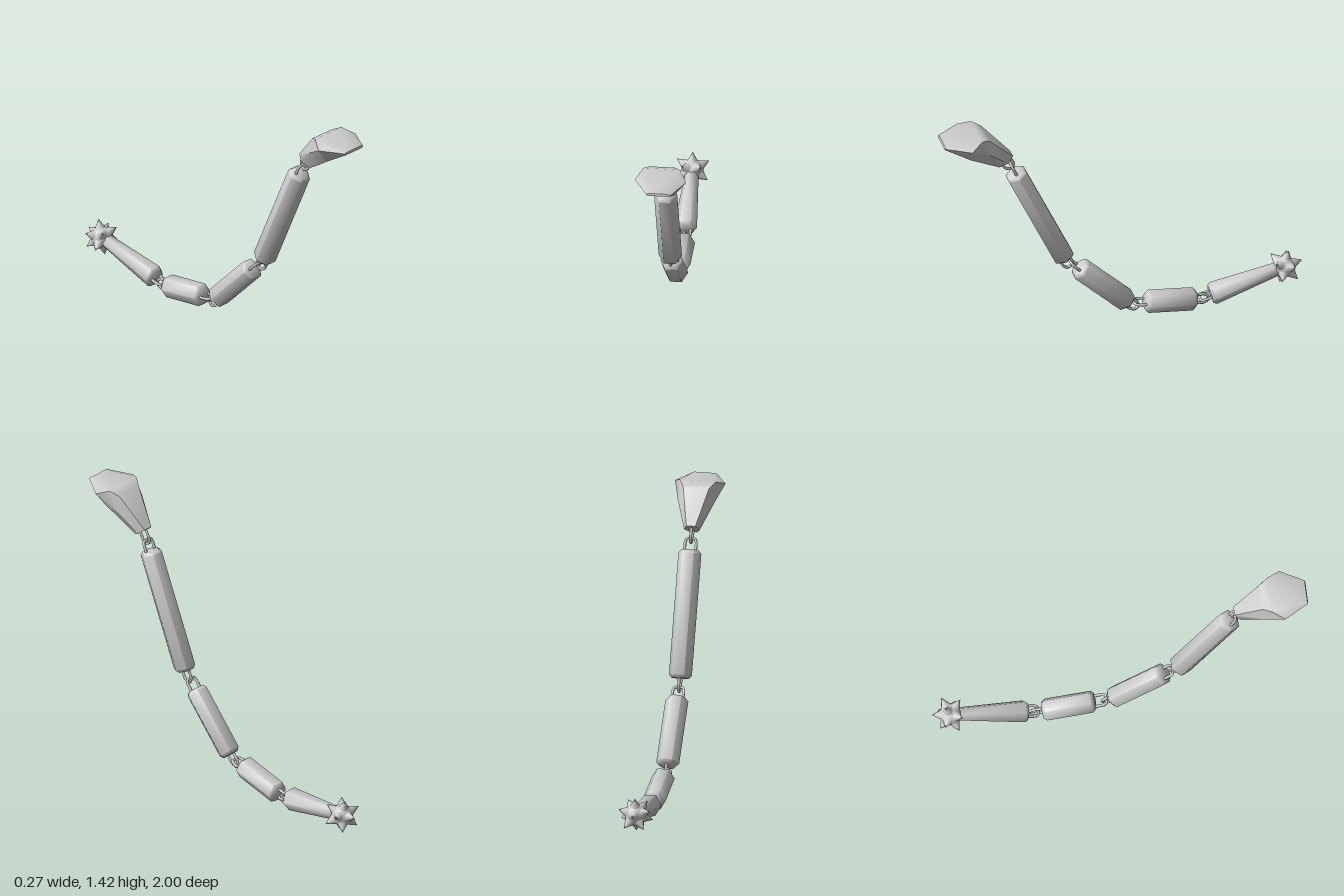
import * as THREE from 'three';
import { toCreasedNormals } from 'three/addons/utils/BufferGeometryUtils.js';

const material = new THREE.MeshStandardMaterial({ color: 0xcccccc });
const R = 0.062; // corner radius of the hexagonal bars

function addMesh(parent, name, geometry) {
  const mesh = new THREE.Mesh(geometry, material);
  mesh.name = name;
  parent.add(mesh);
  return mesh;
}

// Group at (z, y) whose local +y points towards a second (z, y) point
function alongAxis(name, [z0, y0], [z1, y1]) {
  const group = new THREE.Group();
  group.name = name;
  group.position.set(0, y0, z0);
  group.rotation.x = Math.atan2(z1 - z0, y1 - y0);
  return group;
}

// Six-sided bar from [radius, height] points, with corners at +x and -x
function hexBar(points) {
  const profile = points.map(([r, h]) => new THREE.Vector2(r, h));
  return toCreasedNormals(new THREE.LatheGeometry(profile, 6, Math.PI / 6), 1.1);
}

// U-shaped wire link standing up along +y in the local xy plane
function linkGeometry(halfWidth, tipWidth, height) {
  const half = [[halfWidth, -0.015], [halfWidth, height * 0.65], [tipWidth, height]];
  const points = [
    ...half.map(([x, y]) => new THREE.Vector3(-x, y, 0)),
    ...half.reverse().map(([x, y]) => new THREE.Vector3(x, y, 0)),
  ];
  const curve = new THREE.CatmullRomCurve3(points, false, 'catmullrom', 0.15);
  return new THREE.TubeGeometry(curve, 30, 0.008, 6);
}

// Wide link at the start of a bar
function addStartLink(parent) {
  addMesh(parent, 'wideLink', linkGeometry(0.03, 0.022, 0.06)).rotation.x = Math.PI;
}

// Link turned a quarter, at the end of a bar
function addEndLink(parent, height) {
  const link = addMesh(parent, 'crossLink', linkGeometry(0.027, 0.012, 0.07));
  link.position.y = height;
  link.rotation.y = Math.PI / 2;
}

function chainBar(name, a, b) {
  const group = alongAxis(name, a, b);
  const length = Math.hypot(b[0] - a[0], b[1] - a[1]);
  addMesh(group, 'bar', hexBar([
    [0, 0], [0.046, 0], [R, 0.018], [R, length - 0.018], [0.046, length], [0, length],
  ]));
  addStartLink(group);
  addEndLink(group, length);
  return group;
}

// Shovel-shaped head lofted through six-cornered sections
function headGeometry() {
  // Each section: top, side and bottom corner as [x, y, z]
  const sections = [
    [[0.024, 1.245, 0.611], [0.042, 1.215, 0.64], [0.022, 1.185, 0.685]],
    [[0.07, 1.41, 0.757], [0.1, 1.335, 0.762], [0.046, 1.246, 0.775]],
    [[0.098, 1.432, 0.804], [0.137, 1.402, 0.87], [0.075, 1.308, 0.86]],
    [[0.056, 1.41, 0.996], [0.066, 1.405, 0.998], [0.06, 1.397, 1.0]],
  ];
  const positions = [];
  for (const s of sections) {
    for (const [x, y, z] of s) positions.push(x, y, z);
    for (const [x, y, z] of [...s].reverse()) positions.push(-x, y, z);
  }
  const index = [];
  const last = (sections.length - 1) * 6;
  for (let a = 0; a < last; a += 6) {
    for (let i = 0; i < 6; i++) {
      const j = (i + 1) % 6;
      index.push(a + i, a + 6 + i, a + j, a + j, a + 6 + i, a + 6 + j);
    }
  }
  for (let i = 1; i < 5; i++) {
    index.push(0, i, i + 1, last, last + i + 1, last + i);
  }
  const geometry = new THREE.BufferGeometry();
  geometry.setAttribute('position', new THREE.Float32BufferAttribute(positions, 3));
  geometry.setIndex(index);
  return toCreasedNormals(geometry, 0.9);
}

// Ball with twelve spikes, one of them along +y
function spikedBall() {
  const ball = new THREE.Group();
  ball.name = 'spikedBall';
  addMesh(ball, 'ballCore', new THREE.SphereGeometry(0.058, 24, 16));
  const up = new THREE.Vector3(0, 1, 0);
  const directions = [up.clone()];
  const polar = Math.atan(2);
  for (let k = 0; k < 5; k++) {
    directions.push(new THREE.Vector3().setFromSphericalCoords(1, polar, (k * 2 * Math.PI) / 5));
  }
  const spikeGeometry = new THREE.ConeGeometry(0.031, 0.056, 8, 1, true);
  for (const d of directions) {
    for (const sign of [1, -1]) {
      const direction = d.clone().multiplyScalar(sign);
      const spike = addMesh(ball, 'spike', spikeGeometry);
      spike.position.copy(direction).multiplyScalar(0.073);
      spike.quaternion.setFromUnitVectors(up, direction);
    }
  }
  return ball;
}

export function createModel() {
  const model = new THREE.Group();
  model.name = 'jointedChain';

  // Head and the link hanging from it
  const head = new THREE.Group();
  head.name = 'head';
  addMesh(head, 'headBody', headGeometry());
  const headJoint = alongAxis('headJoint', [0.648, 1.213], [0.603, 1.135]);
  addEndLink(headJoint, 0);
  head.add(headJoint);
  model.add(head);

  // Three hexagonal bars, as [z, y] end points
  model.add(chainBar('longBar', [0.592, 1.118], [0.318, 0.492]));
  model.add(chainBar('middleBar', [0.24, 0.41], [-0.035, 0.125]));
  model.add(chainBar('shortBar', [-0.13, 0.102], [-0.41, 0.058]));

  // Tapered bar ending in the spiked ball
  const start = [-0.493, 0.07];
  const end = [-0.902, 0.162];
  const length = Math.hypot(end[0] - start[0], end[1] - start[1]);
  const tail = alongAxis('tail', start, end);
  addMesh(tail, 'taperedBar', hexBar([
    [0, 0], [0.05, 0], [R, 0.016], [0.036, length - 0.03], [0, length - 0.03],
  ]));
  addStartLink(tail);
  const ball = spikedBall();
  ball.position.y = length;
  tail.add(ball);
  model.add(tail);

  return model;
}
